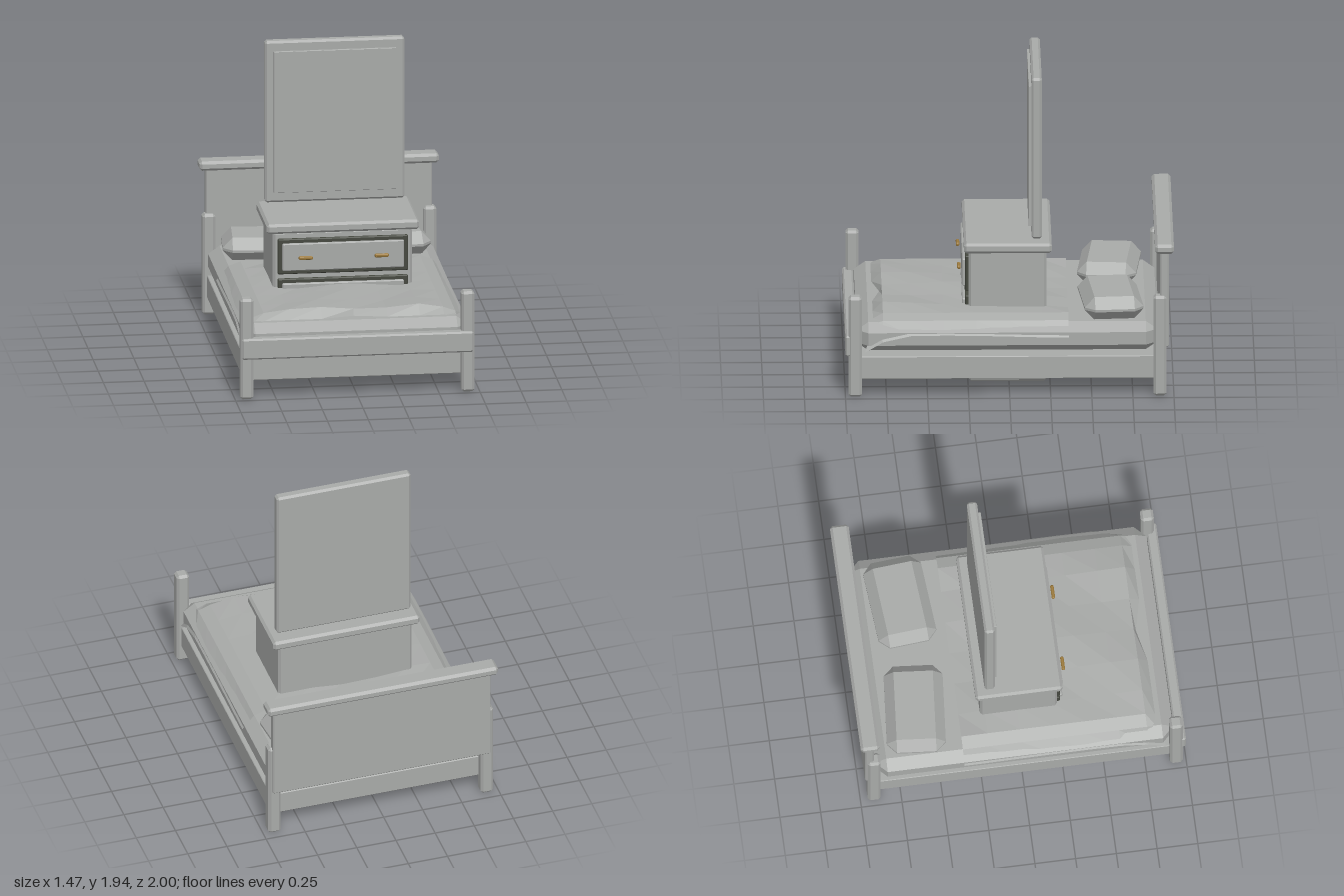
import * as THREE from 'three';
import { ConvexGeometry } from 'three/addons/geometries/ConvexGeometry.js';

const material = (name, color) => {
  const m = new THREE.MeshStandardMaterial({ color });
  m.name = name;
  return m;
};

// Box given by its limits, with chamfers cut by [bx, by, bz] along each axis
function chamferBox(x0, x1, y0, y1, z0, z1, [bx, by, bz]) {
  const a = (x1 - x0) / 2, h = (y1 - y0) / 2, d = (z1 - z0) / 2;
  const pts = [];
  for (const sx of [-1, 1]) for (const sy of [-1, 1]) for (const sz of [-1, 1]) {
    pts.push(new THREE.Vector3(sx * a, sy * (h - by), sz * (d - bz)));
    pts.push(new THREE.Vector3(sx * (a - bx), sy * h, sz * (d - bz)));
    pts.push(new THREE.Vector3(sx * (a - bx), sy * (h - by), sz * d));
  }
  const g = new ConvexGeometry(pts);
  g.userData.center = [(x0 + x1) / 2, (y0 + y1) / 2, (z0 + z1) / 2];
  return g;
}

// Draped cover: a grid of cross-sections running from head to foot
function blanketGeometry() {
  const half = [0.7, 0.625, 0.55, 0.4, 0.2];
  const xs = [...half.map(v => -v), 0, ...half.slice().reverse()];
  const zs = [-0.36, -0.2, 0, 0.2, 0.4, 0.6, 0.77, 0.83];
  const n = xs.length, pos = [], index = [];
  zs.forEach((z, r) => {
    const front = r === zs.length - 1;
    xs.forEach((x, c) => {
      const edge = Math.min(c, n - 1 - c);
      const crown = 0.468 + 0.032 * Math.min(1, (z + 0.36) / 0.5);
      let y = crown + 0.012 * Math.sin(x * 9 + z * 5) * (z > -0.3 ? 1 : 0.2);
      let zz = z;
      if (edge === 0) y = front ? 0.28 : r === zs.length - 2 ? 0.345 : 0.378 + 0.008 * Math.sin(z * 4);
      if (edge === 1) y = front ? 0.44 : 0.458;
      if (edge === 2) y = 0.485;
      if (front) {
        if (edge === 0) zz = 0.88;
        if (edge > 1) y = 0.452;
        if (c === (n - 1) / 2) zz = 0.785;
      }
      pos.push(x, y, zz);
      if (r && c) {
        const i = r * n + c;
        index.push(i - n - 1, i - 1, i - n, i - n, i - 1, i);
      }
    });
  });
  const g = new THREE.BufferGeometry();
  g.setAttribute('position', new THREE.Float32BufferAttribute(pos, 3));
  g.setIndex(index);
  const flat = g.toNonIndexed();
  flat.computeVertexNormals();
  return flat;
}

export function createModel() {
  const grey = material('plain grey', 0xa8aaa8);
  const dark = material('dark trim', 0x45483f);
  const brass = material('brass', 0x9c7a3c);
  const cloth = material('blanket grey', 0xa8aaa8);
  cloth.side = THREE.DoubleSide;

  const root = new THREE.Group();
  root.name = 'bedroomSet';
  const bed = new THREE.Group();
  bed.name = 'bed';
  const dresser = new THREE.Group();
  dresser.name = 'dresser';
  const mirror = new THREE.Group();
  mirror.name = 'mirror';
  root.add(bed, dresser, mirror);

  const box = (parent, name, mat, limits, bevel = 0.012) => {
    const b = Array.isArray(bevel) ? bevel : [bevel, bevel, bevel];
    const geo = chamferBox(...limits, b);
    const mesh = new THREE.Mesh(geo, mat);
    mesh.name = name;
    mesh.position.set(...geo.userData.center);
    parent.add(mesh);
    return mesh;
  };

  // Bed frame
  box(bed, 'bedBase', grey, [-0.69, 0.69, 0.107, 0.25, -0.9, 0.93], 0.004);
  box(bed, 'headboardPanel', grey, [-0.695, 0.695, 0.305, 0.92, -0.97, -0.915], 0.008);
  box(bed, 'headboardCap', grey, [-0.735, 0.735, 0.908, 0.967, -1, -0.885], 0.016);
  box(bed, 'footboard', grey, [-0.71, 0.71, 0.257, 0.387, 0.935, 1], 0.01);
  for (const s of [-1, 1]) {
    const x = 0.678 * s;
    box(bed, 'frontPost', grey, [x - 0.04, x + 0.04, 0, 0.635, 0.9, 0.98], 0.015);
    box(bed, 'backPost', grey, [x - 0.04, x + 0.04, 0, 0.635, -0.955, -0.875], 0.015);
  }

  // Bedding
  box(bed, 'mattress', grey, [-0.69, 0.69, 0.27, 0.45, -0.9, 0.93], [0.07, 0.05, 0.07]);
  const blanket = new THREE.Mesh(blanketGeometry(), cloth);
  blanket.name = 'blanket';
  bed.add(blanket);
  for (const s of [-1, 1]) {
    const pillow = box(bed, 'pillow', grey, [-0.28, 0.28, 0.445, 0.59, -0.18, 0.18], [0.06, 0.065, 0.06]);
    pillow.position.x = 0.35 * s;
    pillow.position.z = -0.62;
    pillow.rotation.y = 0.085 * s;
  }

  // Dresser with three drawers
  box(dresser, 'dresserBody', grey, [-0.427, 0.427, 0.005, 0.84, -0.228, 0.245], 0.015);
  box(dresser, 'dresserTop', grey, [-0.468, 0.468, 0.833, 0.895, -0.26, 0.275], 0.015);
  for (let i = 0; i < 3; i++) {
    const y = 0.687 - 0.252 * i;
    box(dresser, 'drawerTrim', dark, [-0.4, 0.4, y - 0.111, y + 0.111, 0.235, 0.266], 0.006);
    box(dresser, 'drawerFront', grey, [-0.373, 0.373, y - 0.086, y + 0.086, 0.255, 0.285], 0.006);
    for (const s of [-1, 1]) {
      const x = 0.233 * s;
      box(dresser, 'drawerHandle', brass, [x - 0.043, x + 0.043, y - 0.011, y + 0.011, 0.293, 0.314], 0.006);
    }
  }

  // Tall mirror above the dresser
  box(mirror, 'mirrorFrame', grey, [-0.428, 0.428, 0.915, 1.937, -0.2, -0.137], 0.013);
  box(mirror, 'mirrorPane', grey, [-0.375, 0.375, 0.98, 1.875, -0.14, -0.12], 0.002);

  return root;
}
